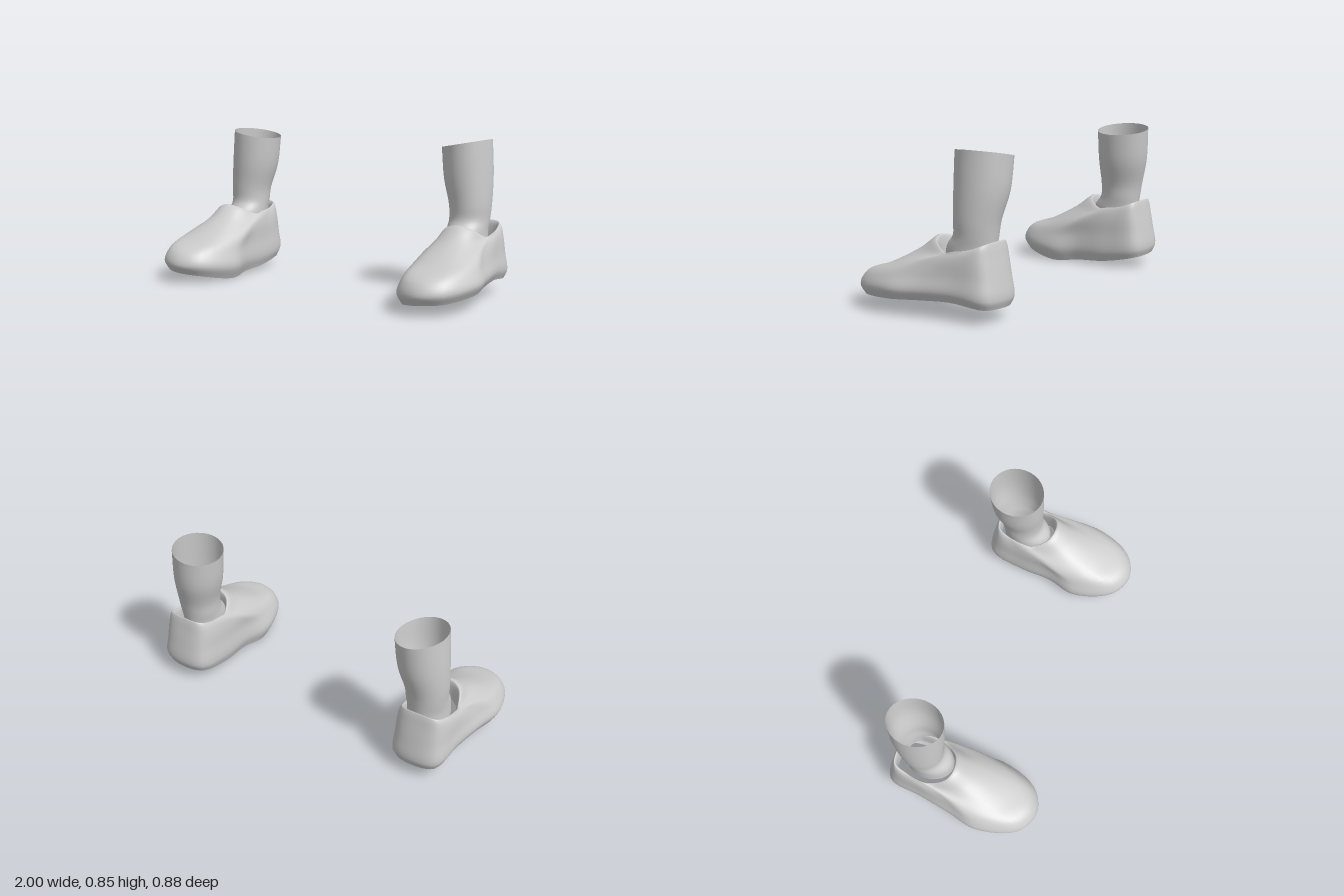
import * as THREE from 'three';

const material = new THREE.MeshStandardMaterial({ color: 0xcccccc });
const thin = new THREE.MeshStandardMaterial({ color: 0xcccccc, side: THREE.DoubleSide });

// Shoe outlines from sole to collar. z: front and back ends; outer and inner:
// x at ball, waist and heel; heights at the ends and beside the ball and heel.
const OUTLINES = [
  { z: [.415, -.425], outer: [.975, .945, .92], inner: [.60, .63, .63], ends: [.06, .075], outerY: [.085, .1], innerY: [.003, .03] },
  { z: [.44, -.44], outer: [1, .97, .94], inner: [.57, .605, .61], ends: [.11, .12], outerY: [.14, .15], innerY: [.08, .09] },
  { z: [.40, -.425], outer: [.975, .95, .93], inner: [.59, .61, .615], ends: [.18, .23], outerY: [.21, .23], innerY: [.17, .2] },
  { z: [.25, -.405], outer: [.935, .925, .92], inner: [.605, .61, .62], ends: [.235, .33], outerY: [.28, .31], innerY: [.25, .285] },
  { z: [.06, -.392], outer: [.90, .907, .905], inner: [.635, .625, .635], ends: [.335, .39], outerY: [.325, .352], innerY: [.32, .345] },
  { z: [-.05, -.385], outer: [.89, .9, .89], inner: [.65, .645, .65], ends: [.41, .405], outerY: [.342, .37], innerY: [.35, .37] },
];

// Leg sections: height, centre x, centre z, half width, half depth, sideways slope
const LEG = [
  [.28, .75, -.215, .11, .14, 0],
  [.36, .75, -.222, .108, .138, 0],
  [.42, .75, -.247, .11, .12, 0],
  [.5, .75, -.255, .116, .125, .02],
  [.65, .73, -.27, .133, .147, .08],
  [.833, .715, -.276, .135, .155, .185],
];

const AROUND = 60, TOE_X = .785, HEEL_X = .775;
const lerp = THREE.MathUtils.lerp;

// Points of one side of an outline, from toe corner to heel corner
function sidePoints(z, x, ends, y) {
  const [ball, waist, heel] = x;
  return [
    [lerp(TOE_X, ball, .62), lerp(ends[0], y[0], .3), .07],
    [ball, y[0], .33],
    [waist, (y[0] + y[1]) / 2, .52],
    [heel, y[1], .74],
    [lerp(HEEL_X, heel, .8), lerp(ends[1], y[1], .2), .96],
  ].map(([px, py, t]) => new THREE.Vector3(px, py, lerp(z[0], z[1], t)));
}

// Closed outline: toe, outer side, heel, inner side
function ring({ z, outer, inner, ends, outerY, innerY }) {
  const curve = new THREE.CatmullRomCurve3([
    new THREE.Vector3(TOE_X, ends[0], z[0]),
    ...sidePoints(z, outer, ends, outerY),
    new THREE.Vector3(HEEL_X, ends[1], z[1]),
    ...sidePoints(z, inner, ends, innerY).reverse(),
  ], true);
  return Array.from({ length: AROUND }, (_, j) => curve.getPoint(j / AROUND));
}

// Lining: the collar shrunk inwards and lowered
const lining = (collar, scale, drop) => collar.map(p => new THREE.Vector3(
  lerp(.77, p.x, scale), p.y - drop, lerp(-.21, p.z, scale)));

function ellipse([y, cx, cz, rx, rz, slope]) {
  return Array.from({ length: 32 }, (_, j) => {
    const a = j / 32 * Math.PI * 2, dx = rx * Math.sin(a);
    return new THREE.Vector3(cx + dx, y + dx * slope, cz + rz * Math.cos(a));
  });
}

// Smooth rows between a few key rows
function loft(keyRows, steps) {
  const columns = keyRows[0].map((_, j) => new THREE.CatmullRomCurve3(keyRows.map(r => r[j])));
  return Array.from({ length: steps + 1 }, (_, i) => columns.map(c => c.getPoint(i / steps)));
}

// Surface through rows of points, mirrored when side is -1
function skin(rows, closed, side) {
  const n = rows[0].length, positions = [], index = [];
  rows.forEach(row => row.forEach(p => positions.push(p.x * side, p.y, p.z)));
  for (let i = 0; i < rows.length - 1; i++) {
    for (let j = 0; j < (closed ? n : n - 1); j++) {
      const a = i * n + j, b = i * n + (j + 1) % n, c = b + n, d = a + n;
      if (side > 0) index.push(a, b, c, a, c, d);
      else index.push(a, c, b, a, d, c);
    }
  }
  const geometry = new THREE.BufferGeometry();
  geometry.setAttribute('position', new THREE.Float32BufferAttribute(positions, 3));
  geometry.setIndex(index);
  geometry.computeVertexNormals();
  return geometry;
}

function part(name, geometry, mat) {
  const mesh = new THREE.Mesh(geometry, mat);
  mesh.name = name;
  return mesh;
}

function foot(side) {
  const group = new THREE.Group();
  group.name = side > 0 ? 'leftFoot' : 'rightFoot';

  // Upper with rolled collar and lining
  const rings = OUTLINES.map(ring);
  const collar = rings[rings.length - 1];
  const upper = [...rings, lining(collar, .94, .02), lining(collar, .92, .12)];
  group.add(part('shoeUpper', skin(loft(upper, 35), true, side), thin));

  // Sole spans from the inner to the outer edge
  const edge = rings[0];
  const outer = edge.slice(0, AROUND / 2 + 1);
  const inner = outer.map((_, j) => edge[(AROUND - j) % AROUND]);
  group.add(part('shoeSole', skin([inner, outer], false, side), material));

  // Open lower leg
  group.add(part('lowerLeg', skin(loft(LEG.map(ellipse), 20), true, side), thin));
  return group;
}

export function createModel() {
  const model = new THREE.Group();
  model.name = 'shoesAndLegs';
  model.add(foot(1), foot(-1));
  return model;
}
